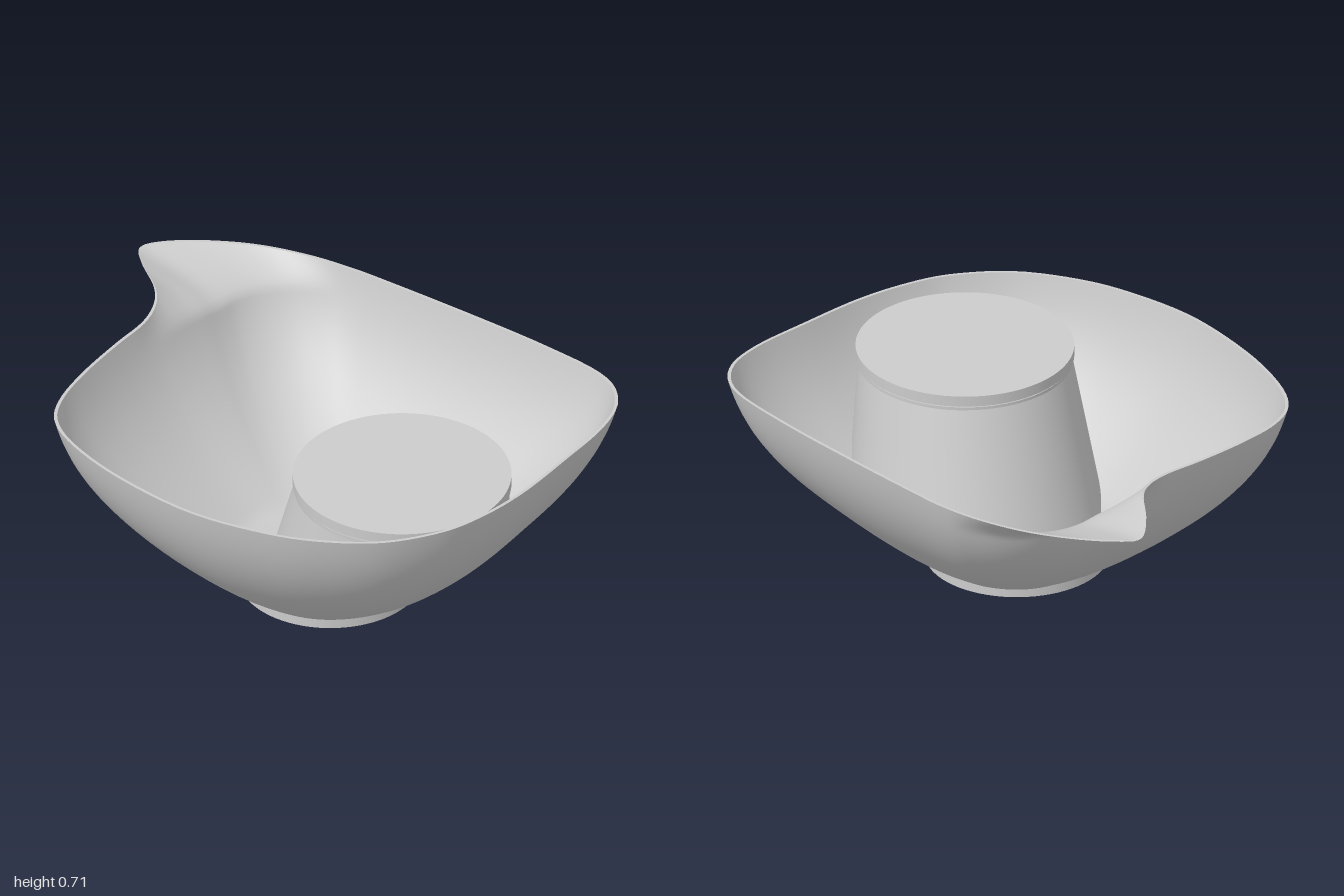
import * as THREE from 'three';

const N = 144, FOOT = { x: 0.163, z: 0.01, r: 0.325 }, Y0 = 0.035;

// Rim plan without the spout: x, z
const RIM = [
  [-0.2, -0.8], [0.15, -0.805], [0.5, -0.8], [0.78, -0.77], [0.92, -0.67], [0.98, -0.5], [0.995, -0.25],
  [1, 0], [0.975, 0.2], [0.92, 0.37], [0.79, 0.55], [0.6, 0.68], [0.4, 0.755], [0.12, 0.8],
  [-0.2, 0.77], [-0.45, 0.7], [-0.6, 0.61], [-0.67, 0.48], [-0.7, 0.3], [-0.71, 0.1], [-0.71, -0.06],
  [-0.705, -0.17], [-0.7, -0.26], [-0.69, -0.36], [-0.68, -0.45], [-0.665, -0.54], [-0.62, -0.63],
  [-0.54, -0.71], [-0.43, -0.77], [-0.34, -0.793],
];
// Spout edge replacing rim points 21 to 28: x, z, rise above the rim
const SPOUT = [
  [-0.74, -0.17, 0.023], [-0.8, -0.25, 0.03], [-0.92, -0.345, 0.025], [-1, -0.44, 0.012],
  [-0.96, -0.52, 0.012], [-0.84, -0.62, 0.01], [-0.68, -0.71, 0.007], [-0.5, -0.768, 0.003],
];

const closed = (pts) => new THREE.CatmullRomCurve3(pts, true, 'catmullrom', 0.5);
const baseCurve = closed(RIM.map(([x, z]) => new THREE.Vector3(x, 0.68, z)));
const lipCurve = closed(RIM.map(([x, z], i) => {
  const s = SPOUT[i - 21];
  if (s) return new THREE.Vector3(s[0], 0.68 + s[2], s[1]);
  return new THREE.Vector3(x, 0.68 + (i >= 18 && i <= 20 ? 0.005 * (i - 17) : 0), z);
}));

// Outward swell of the wall, 0 at the foot and 1 at the rim
const swell = (t) => 1 - 0.72 * (1 - t) ** 2.4 - 0.28 * (1 - t);

// One horizontal ring of the bowl at height fraction t, moved inward by inset
function ring(t, inset) {
  const w = Math.max(0, (t - 0.84) / 0.16) ** 2;
  return Array.from({ length: N }, (_, j) => {
    const base = baseCurve.getPoint(j / N), lip = lipCurve.getPoint(j / N);
    const dx = base.x - FOOT.x, dz = base.z - FOOT.z, len = Math.hypot(dx, dz);
    const r = THREE.MathUtils.lerp(FOOT.r, len, swell(t)) - inset;
    return new THREE.Vector3(
      FOOT.x + dx / len * r + w * (lip.x - base.x),
      Y0 + t * (lip.y - Y0),
      FOOT.z + dz / len * r + w * (lip.z - base.z));
  });
}

// Skin a list of closed rings
function loft(rows) {
  const n = rows[0].length, index = [];
  for (let i = 0; i < rows.length - 1; i++) {
    for (let j = 0; j < n; j++) {
      const k = (j + 1) % n, a = i * n + j, b = i * n + k, c = a + n, d = b + n;
      index.push(a, c, b, b, c, d);
    }
  }
  const g = new THREE.BufferGeometry().setFromPoints(rows.flat());
  g.setIndex(index);
  g.computeVertexNormals();
  return g;
}

// Radius of the inner wall around the foot axis, for ending the cup on the bowl
const rimPolar = Array.from({ length: N }, (_, j) => {
  const p = baseCurve.getPoint(j / N);
  return [Math.atan2(p.z - FOOT.z, p.x - FOOT.x), Math.hypot(p.x - FOOT.x, p.z - FOOT.z)];
});
function insideBowl(p) {
  const a = Math.atan2(p.z - FOOT.z, p.x - FOOT.x);
  const gap = (b) => Math.abs(Math.atan2(Math.sin(a - b), Math.cos(a - b)));
  const near = rimPolar.reduce((m, q) => (gap(q[0]) < gap(m[0]) ? q : m));
  const t = Math.max(0, (p.y - Y0) / (0.68 - Y0));
  return Math.hypot(p.x - FOOT.x, p.z - FOOT.z) < THREE.MathUtils.lerp(FOOT.r, near[1], swell(t)) - 0.012;
}

export function createModel() {
  const group = new THREE.Group();
  const material = new THREE.MeshStandardMaterial({ color: 0xcccccc, side: THREE.DoubleSide });
  const add = (name, geometry, x = 0, y = 0, z = 0) => {
    const mesh = new THREE.Mesh(geometry, material);
    mesh.name = name;
    mesh.position.set(x, y, z);
    group.add(mesh);
  };

  // Bowl: outer wall, rim edge, inner wall and floor
  const levels = Array.from({ length: 33 }, (_, i) => 1 - (1 - i / 32) ** 1.5);
  const outer = levels.map((t) => ring(t, 0));
  const inner = levels.filter((t) => t > 0.04).reverse().map((t) => ring(t, 0.012 + 0.015 * (1 - t)));
  const floorY = inner[inner.length - 1][0].y;
  for (const f of [0.6, 0.25, 0.001]) {
    inner.push(inner[inner.length - 1].map((p) => new THREE.Vector3(
      FOOT.x + (p.x - FOOT.x) * f, floorY - 0.004, FOOT.z + (p.z - FOOT.z) * f)));
  }
  add('bowlOuterWall', loft(outer));
  add('bowlRim', loft([outer[outer.length - 1], inner[0]]));
  add('bowlInnerWall', loft(inner));

  // Foot disc
  add('foot', new THREE.CylinderGeometry(FOOT.r, FOOT.r, 0.045, 72), FOOT.x, 0.0225, FOOT.z);

  // Leaning cup body, flaring downward and ending on the bowl wall
  const sides = 96, topY = 0.6;
  const cupPoint = (a, q) => {
    const r = 0.375 + 0.075 * q;
    return new THREE.Vector3(0.55 - 0.1 * q + r * Math.cos(a), topY - 0.54 * q, 0.11 - 0.04 * q + r * Math.sin(a));
  };
  const ends = Array.from({ length: sides }, (_, j) => {
    let q = 0;
    while (q < 1 && insideBowl(cupPoint(j / sides * Math.PI * 2, q + 0.01))) q += 0.01;
    return q;
  });
  const cupRows = Array.from({ length: 9 }, (_, i) =>
    ends.map((q, j) => cupPoint(j / sides * Math.PI * 2, q * (1 - i / 8))));
  add('cupBody', loft(cupRows));

  // Cup lid with a thin collar below it
  add('cupCollar', new THREE.CylinderGeometry(0.38, 0.38, 0.012, 96), 0.55, 0.59, 0.11);
  add('cupLid', new THREE.CylinderGeometry(0.385, 0.385, 0.04, 96), 0.55, 0.622, 0.11);
  return group;
}
